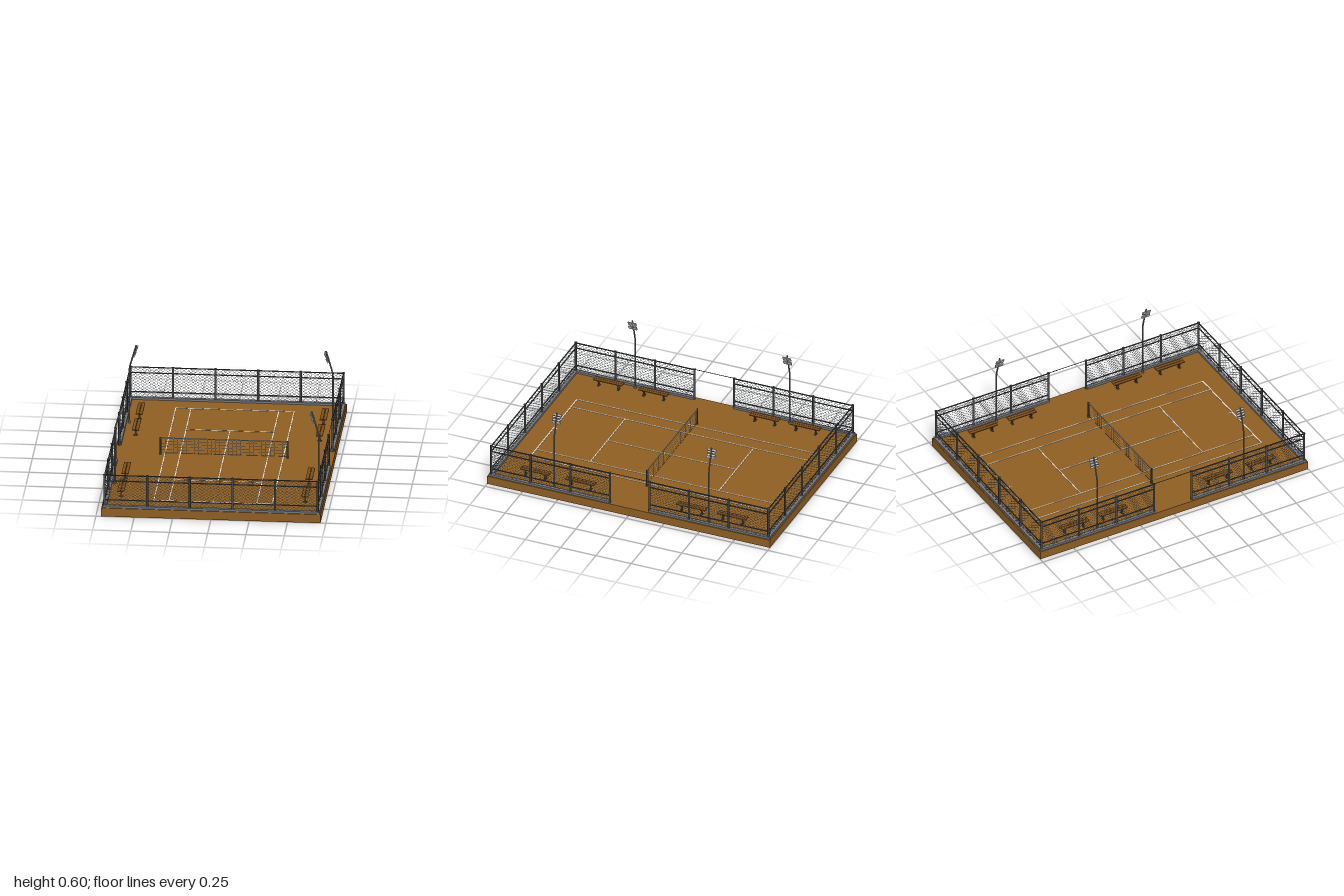
import * as THREE from 'three';
import { mergeGeometries } from 'three/addons/utils/BufferGeometryUtils.js';

const mat = (name, color, side = THREE.FrontSide) => {
  const m = new THREE.MeshStandardMaterial({ color, side });
  m.name = name;
  return m;
};

const GROUND = 0.058, FX = 0.695, FZ = 0.98, GATE = 0.14, TOP = 0.283;

// Geometry helpers
const box = (w, h, d, x, y, z) => new THREE.BoxGeometry(w, h, d).translate(x, y, z);
const rod = (r, h, x, y, z, n = 8) => new THREE.CylinderGeometry(r, r, h, n).translate(x, y + h / 2, z);
const strip = (x1, y1, x2, y2, w) => new THREE.PlaneGeometry(Math.hypot(x2 - x1, y2 - y1), w)
  .rotateZ(Math.atan2(y2 - y1, x2 - x1)).translate((x1 + x2) / 2, (y1 + y2) / 2, 0);

// Crossing diagonal wires clipped to a rectangle centred on x = 0
function chainLink(length, y0, y1) {
  const wires = [], slope = 0.66, step = 0.03, run = (y1 - y0) / slope, half = length / 2;
  for (let x = -half - run + step / 2; x < half; x += step) {
    const a = Math.max(x, -half), b = Math.min(x + run, half);
    const ya = y0 + (a - x) * slope, yb = y0 + (b - x) * slope;
    wires.push(strip(a, ya, b, yb, 0.0018), strip(-a, ya, -b, yb, 0.0018));
  }
  return mergeGeometries(wires);
}

export function createModel() {
  const model = new THREE.Group();
  model.name = 'tennisCourt';
  const clay = mat('clay', 0x8f5f22);
  const white = mat('lineWhite', 0xe6e6e2);
  const darkMetal = mat('darkMetal', 0x46494c);
  const curbGrey = mat('curbGrey', 0x73787e);
  const wireGrey = mat('wireGrey', 0x8f959b, THREE.DoubleSide);
  const netGrey = mat('netGrey', 0xb4b8bd, THREE.DoubleSide);
  const poleGrey = mat('poleGrey', 0x77777a);
  const lampGrey = mat('lampGrey', 0xc6c8ca);
  const wood = mat('wood', 0x7d501c);

  const add = (name, geometry, material, parent = model) => {
    const mesh = new THREE.Mesh(Array.isArray(geometry) ? mergeGeometries(geometry) : geometry, material);
    mesh.name = name;
    parent.add(mesh);
    return mesh;
  };

  // Ground slab
  add('groundSlab', box(1.43, GROUND, 2, 0, GROUND / 2, 0), clay);

  // Painted court lines
  const lines = [], w = 0.006;
  const line = (sx, sz, x, z) => lines.push(box(sx, 0.002, sz, x, GROUND + 0.001, z));
  for (const s of [-1, 1]) {
    line(w, 1.676, s * 0.386, 0);
    line(w, 1.676, s * 0.286, 0);
    line(0.778, 0.008, 0, s * 0.838);
    line(0.572, w, 0, s * 0.455);
    line(w, 0.025, 0, s * 0.824);
  }
  line(w, 0.91, 0, 0);
  add('courtLines', lines, white);

  // Fence: curb, posts, rails, wire; the long sides have a gate gap
  const fence = new THREE.Group();
  fence.name = 'fence';
  model.add(fence);
  const curbs = [], posts = [], rails = [];
  const sideLength = FZ - GATE, sideMid = (FZ + GATE) / 2;
  const post = (x, z) => posts.push(
    rod(0.0075, TOP - GROUND, x, GROUND, z), rod(0.009, 0.006, x, TOP - 0.003, z));
  for (const s of [-1, 1]) {
    curbs.push(box(1.415, 0.014, 0.026, 0, GROUND + 0.007, s * FZ));
    for (const y of [0.28, 0.241, 0.109]) rails.push(box(2 * FX, 0.006, 0.006, 0, y, s * FZ));
    for (let i = 0; i < 6; i++) post(-FX + i * FX * 0.4, s * FZ);
    add('endWire', chainLink(2 * FX, 0.072, 0.28), wireGrey, fence).position.z = s * FZ;
    rails.push(box(0.003, 0.003, 2 * GATE, s * FX, 0.283, 0));
    for (const t of [-1, 1]) {
      curbs.push(box(0.026, 0.014, sideLength, s * FX, GROUND + 0.007, t * sideMid));
      for (const y of [0.28, 0.241, 0.109])
        rails.push(box(0.006, 0.006, sideLength, s * FX, y, t * sideMid));
      for (let i = 0; i < 3; i++) post(s * FX, t * (GATE + i * 0.28));
      const wire = add('sideWire', chainLink(sideLength, 0.072, 0.28), wireGrey, fence);
      wire.position.set(s * FX, 0, t * sideMid);
      wire.rotation.y = s * Math.PI / 2;
    }
  }
  add('curb', curbs, curbGrey, fence);
  add('fencePosts', posts, darkMetal, fence);
  add('fenceRails', rails, darkMetal, fence);

  // Net with two posts and a square mesh
  const net = new THREE.Group();
  net.name = 'net';
  model.add(net);
  add('netPosts', [-1, 1].map(s => rod(0.006, 0.118, s * 0.415, GROUND, 0)), darkMetal, net);
  const strands = [];
  for (let i = 0; i <= 30; i++) {
    const x = -0.41 + i * 0.82 / 30;
    strands.push(strip(x, 0.068, x, 0.17, 0.0025));
  }
  for (let i = 0; i <= 5; i++) strands.push(strip(-0.412, 0.07 + i * 0.02, 0.412, 0.07 + i * 0.02, 0.0025));
  add('netMesh', strands, netGrey, net);
  add('netBand', box(0.83, 0.007, 0.004, 0, 0.171, 0), netGrey, net);

  // Benches along both sides
  for (const x of [-0.604, 0.596]) for (const z of [-0.687, -0.397, 0.388, 0.708]) {
    const bench = new THREE.Group();
    bench.name = 'bench';
    bench.position.set(x, GROUND, z);
    model.add(bench);
    add('seat', [-1, 1].map(s => box(0.021, 0.006, 0.205, s * 0.0117, 0.046, 0)), wood, bench);
    const legs = [];
    for (const s of [-1, 1]) legs.push(
      box(0.01, 0.04, 0.008, 0, 0.02, s * 0.07),
      box(0.042, 0.005, 0.01, 0, 0.0405, s * 0.07),
      box(0.026, 0.004, 0.014, 0, 0.002, s * 0.07));
    add('legs', legs, darkMetal, bench);
  }

  // Floodlights: bent pole with four lamp heads, leaning toward the court
  for (const s of [-1, 1]) for (const z of [-0.547, 0.547]) {
    const light = new THREE.Group();
    light.name = 'floodlight';
    light.position.z = z;
    light.rotation.y = s > 0 ? 0 : Math.PI;
    if (s < 0) light.position.z = z;
    model.add(light);
    const path = new THREE.CurvePath();
    const P = (x, y) => new THREE.Vector3(x, y, 0);
    path.add(new THREE.LineCurve3(P(0.664, GROUND), P(0.664, 0.42)));
    path.add(new THREE.QuadraticBezierCurve3(P(0.664, 0.42), P(0.664, 0.445), P(0.656, 0.47)));
    path.add(new THREE.LineCurve3(P(0.656, 0.47), P(0.62, 0.596)));
    add('pole', new THREE.TubeGeometry(path, 40, 0.0052, 8), poleGrey, light);
    add('poleTip', new THREE.SphereGeometry(0.0052, 8, 6).translate(0.62, 0.596, 0), poleGrey, light);
    add('poleFoot', rod(0.009, 0.012, 0.664, GROUND, 0, 10), poleGrey, light);
    const head = new THREE.Group();
    head.name = 'lampHead';
    head.position.set(0.624, 0.557, 0);
    head.rotation.z = 0.29;
    light.add(head);
    const lamps = [], arms = [];
    for (const v of [-1, 1]) {
      arms.push(box(0.005, 0.005, 0.05, 0.004, v * 0.018, 0), box(0.012, 0.005, 0.005, 0.006, v * 0.018, 0));
      for (const h of [-1, 1])
        lamps.push(new THREE.BoxGeometry(0.007, 0.029, 0.027).rotateZ(0.15).translate(-0.002, v * 0.018, h * 0.0155));
    }
    add('lampArms', arms, darkMetal, head);
    add('lamps', lamps, lampGrey, head);
  }
  return model;
}
